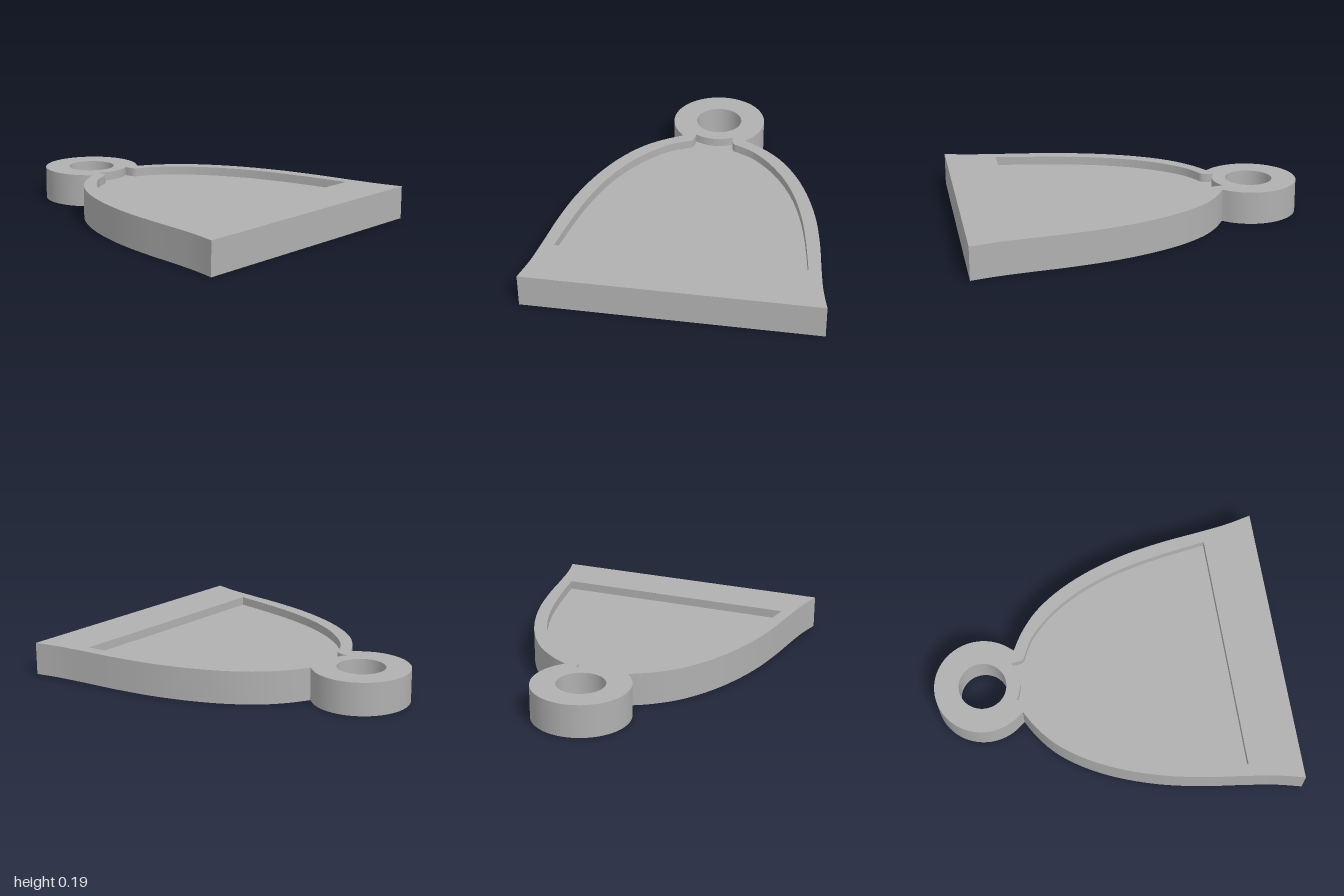
import * as THREE from 'three';
import { toCreasedNormals } from 'three/addons/utils/BufferGeometryUtils.js';

const HEIGHT = 0.19, FLOOR = 0.14;
const RING_Z = -0.722, RING_R = 0.278, HOLE_R = 0.137, ARC_R = 0.215;

// Smooth curve through [x, z] pairs, as plan points with y = -z
const smooth = (pairs, n) => new THREE.SplineCurve(
  pairs.map(([x, z]) => new THREE.Vector2(x, -z))).getPoints(n);

// Arc about the ring centre
function ringArc(radius, from, to, n) {
  return Array.from({ length: n + 1 }, (_, i) => {
    const a = from + (to - from) * i / n;
    return new THREE.Vector2(radius * Math.cos(a), -RING_Z + radius * Math.sin(a));
  });
}

const mirrored = (points) => points.map((p) => new THREE.Vector2(-p.x, p.y)).reverse();

// Extrude a plan shape upward from the ground
function slab(shape, height) {
  const geo = new THREE.ExtrudeGeometry(shape, { depth: height, bevelEnabled: false, curveSegments: 32 });
  geo.rotateX(-Math.PI / 2);
  return toCreasedNormals(geo, Math.PI / 6);
}

export function createModel() {
  const group = new THREE.Group();
  group.name = 'bellPendant';
  const grey = new THREE.MeshStandardMaterial({ color: 0xb0b0b0 });
  grey.name = 'grey';

  // Bell outline with the hanging ring on top
  const side = smooth([[0.825, 1], [0.79, 0.85], [0.765, 0.68], [0.735, 0.45], [0.69, 0.22],
    [0.62, 0], [0.53, -0.19], [0.42, -0.345], [0.3, -0.45], [0.19, -0.515]], 48);
  const start = -Math.acos(0.19 / RING_R);
  const ring = ringArc(RING_R, start, Math.PI - start, 64).slice(1, -1);
  const outline = new THREE.Shape([...side, ...ring, ...mirrored(side)]);

  // Recess outline: straight front, curved sides, small neck ending under the ring
  const neck = smooth([[0.16, -0.452], [0.13, -0.467], [0.117, -0.495], [0.114, -0.54]], 12);
  const inner = smooth([[0.697, 0.697], [0.655, 0.43], [0.61, 0.22], [0.55, 0.03],
    [0.47, -0.14], [0.37, -0.285], [0.26, -0.395], [0.16, -0.452]], 48);
  const half = [...inner, ...neck.slice(1)];
  const a = Math.acos(0.114 / ARC_R);
  const arc = ringArc(ARC_R, -a, a - Math.PI, 16).slice(1, -1);
  const recess = [...half, ...arc, ...mirrored(half)];

  const eye = new THREE.Path().absarc(0, -RING_Z, HOLE_R, 0, Math.PI * 2, true);
  outline.holes.push(new THREE.Path(recess), eye);

  const body = new THREE.Mesh(slab(outline, HEIGHT), grey);
  body.name = 'rimAndRing';
  const floor = new THREE.Mesh(slab(new THREE.Shape(recess), FLOOR), grey);
  floor.name = 'recessFloor';
  group.add(body, floor);
  return group;
}
